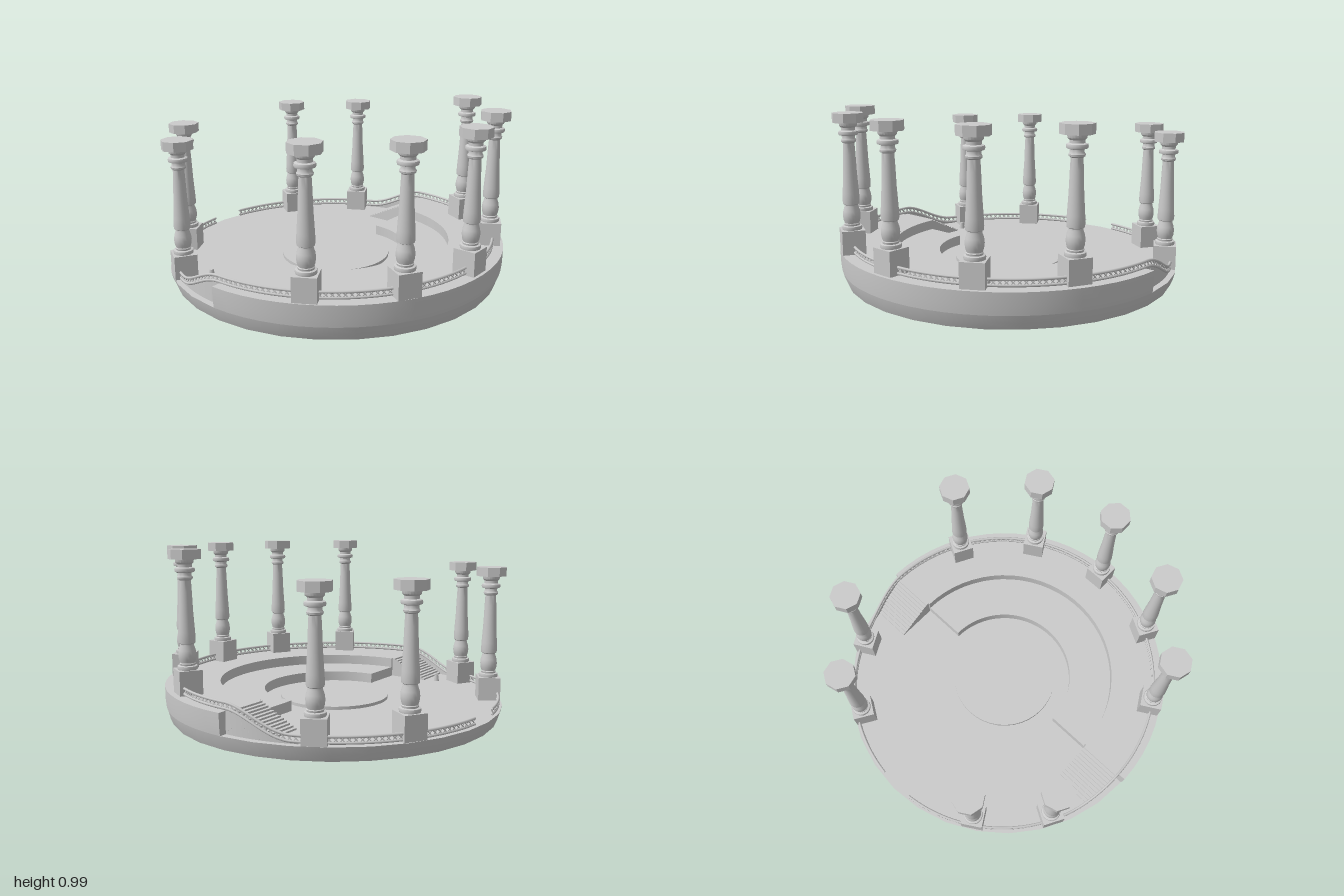
import * as THREE from 'three';
import { mergeGeometries, toCreasedNormals } from 'three/addons/utils/BufferGeometryUtils.js';

const FLOOR = 0.08, TERRACE = 0.2, RAIL_R = 0.95, RAIL_Z = -0.02;
const grey = new THREE.MeshStandardMaterial({ color: 0xcccccc });
const greyDouble = new THREE.MeshStandardMaterial({ color: 0xcccccc, side: THREE.DoubleSide });

function add(parent, name, geometry, material = grey) {
  const mesh = new THREE.Mesh(geometry, material);
  mesh.name = name;
  parent.add(mesh);
  return mesh;
}

const vec2 = (list) => list.map(([x, y]) => new THREE.Vector2(x, y));

function lathe(points, segments, start = 0, length = Math.PI * 2, crease = 0.5) {
  return toCreasedNormals(new THREE.LatheGeometry(vec2(points), segments, start, length), crease);
}

// Ground height under the railing: terrace, S-curve down the stairs, floor
function groundAt(z) {
  const t = THREE.MathUtils.clamp(-z / 0.37, 0, 1);
  return TERRACE - (TERRACE - FLOOR) * t * t * (3 - 2 * t);
}

// Point on the railing circle; angle 0 is the front
function railPoint(angle, lift) {
  const z = RAIL_Z + RAIL_R * Math.cos(angle);
  return new THREE.Vector3(RAIL_R * Math.sin(angle), groundAt(z) + lift, z);
}

// Thin square bar between two points
function bar(a, b, size) {
  const g = new THREE.BoxGeometry(size, size, a.distanceTo(b));
  const m = new THREE.Matrix4().lookAt(b, a, new THREE.Vector3(0, 1, 0));
  m.setPosition(a.clone().add(b).multiplyScalar(0.5));
  return g.applyMatrix4(m);
}

function createRailing() {
  const group = new THREE.Group();
  group.name = 'railing';
  const end = Math.PI - 0.115, low = 0.012, high = 0.043, cells = 180;
  for (const [name, lift] of [['bottomRail', low], ['topRail', high]]) {
    const points = [];
    for (let i = 0; i <= 120; i++) points.push(railPoint(-end + (2 * end * i) / 120, lift));
    const curve = new THREE.CatmullRomCurve3(points);
    add(group, name, new THREE.TubeGeometry(curve, 240, 0.008, 6));
  }
  // Crossed lattice between the rails
  const bars = [];
  for (let i = 0; i < cells; i++) {
    const a = -end + (2 * end * i) / cells, b = a + (2 * end) / cells;
    bars.push(bar(railPoint(a, low), railPoint(b, high), 0.005));
    bars.push(bar(railPoint(a, high), railPoint(b, low), 0.005));
  }
  add(group, 'lattice', mergeGeometries(bars));
  return group;
}

// Curved wall closing the outer side of a staircase
function stairWall(side) {
  const positions = [], index = [], n = 24;
  for (let i = 0; i <= n; i++) {
    const p = railPoint(side * (Math.PI / 2 - 0.03 + (0.44 * i) / n), 0.012);
    positions.push(p.x, FLOOR, p.z, p.x, p.y, p.z);
    if (i < n) index.push(2 * i, 2 * i + 2, 2 * i + 1, 2 * i + 1, 2 * i + 2, 2 * i + 3);
  }
  const g = new THREE.BufferGeometry();
  g.setAttribute('position', new THREE.Float32BufferAttribute(positions, 3));
  g.setIndex(index);
  g.computeVertexNormals();
  return g;
}

function createStairs(side) {
  const group = new THREE.Group();
  group.name = side > 0 ? 'leftStairs' : 'rightStairs';
  const count = 12, run = 0.245 / count, inner = 0.69;
  for (let i = 0; i < count; i++) {
    const back = -run * (i + 1);
    const outer = Math.sqrt(RAIL_R ** 2 - (back - RAIL_Z) ** 2);
    const height = (TERRACE - FLOOR) * (1 - i / count);
    const step = add(group, 'step', new THREE.BoxGeometry(outer - inner, height, run));
    step.position.set((side * (inner + outer)) / 2, FLOOR + height / 2, back + run / 2);
  }
  add(group, 'stairWall', stairWall(side), greyDouble);
  return group;
}

const shaftGeometry = lathe([
  [0.054, 0.135], [0.056, 0.145], [0.054, 0.155], [0.042, 0.158], [0.044, 0.168],
  [0.04, 0.172], [0.046, 0.19], [0.049, 0.215], [0.046, 0.24], [0.038, 0.265],
  [0.037, 0.275], [0.045, 0.28], [0.047, 0.3], [0.045, 0.34], [0.038, 0.45],
  [0.034, 0.56], [0.031, 0.62], [0.04, 0.626], [0.042, 0.636], [0.036, 0.645],
  [0.036, 0.66], [0.052, 0.665], [0.055, 0.675], [0.052, 0.685], [0.038, 0.69],
  [0.038, 0.705], [0.048, 0.715], [0.05, 0.735],
], 20, 0, Math.PI * 2, 0.7);

function createColumn(x, z) {
  const group = new THREE.Group();
  group.name = 'column';
  add(group, 'pedestal', new THREE.BoxGeometry(0.128, 0.135, 0.128)).position.y = 0.0675;
  add(group, 'shaft', shaftGeometry);
  // Octagonal capital with flat sides on the axes
  const capital = new THREE.CylinderGeometry(0.088, 0.088, 0.052, 8);
  capital.rotateY(Math.PI / 8);
  add(group, 'capital', toCreasedNormals(capital, 0.3)).position.y = 0.759;
  group.position.set(x, z > 0 ? TERRACE : FLOOR, z);
  group.rotation.y = Math.atan2(x, z);
  return group;
}

export function createModel() {
  const model = new THREE.Group();
  model.name = 'roundColonnade';

  // Round base slab
  add(model, 'base', lathe([[0, 0], [0.965, 0], [0.982, 0.04], [0.992, FLOOR], [0, FLOOR]], 32));

  // Raised front half with two terrace levels
  const section = [
    [0.42, FLOOR], [0.992, FLOOR], [0.997, 0.13], [0.998, TERRACE],
    [0.68, TERRACE], [0.68, 0.14], [0.42, 0.14], [0.42, FLOOR],
  ];
  const terrace = new THREE.Group();
  terrace.name = 'terrace';
  add(terrace, 'terraceBody', lathe(section.slice(1), 32, -Math.PI / 2, Math.PI));
  for (const side of [1, -1]) {
    const shape = new THREE.Shape(vec2(section.map(([r, y]) => [side * r, y])));
    add(terrace, 'terraceEnd', new THREE.ShapeGeometry(shape), greyDouble);
    model.add(createStairs(side));
  }
  model.add(terrace);

  // Low round stage in the middle
  const stage = add(model, 'stage', new THREE.CylinderGeometry(0.323, 0.323, 0.018, 40));
  stage.position.y = FLOOR + 0.009;

  // Small post beside the right-hand stairs
  const post = add(model, 'smallPost', new THREE.CylinderGeometry(0.012, 0.018, 0.04, 8));
  post.position.set(-0.72, FLOOR + 0.02, -0.32);

  model.add(createRailing());

  // Columns around the rim
  const spots = [
    [0, 0.915], [0.465, 0.785], [-0.46, 0.81], [0.795, 0.42], [-0.8, 0.465],
    [0.805, -0.45], [-0.805, -0.45], [0.48, -0.785], [-0.485, -0.78],
  ];
  for (const [x, z] of spots) model.add(createColumn(x, z));
  return model;
}
